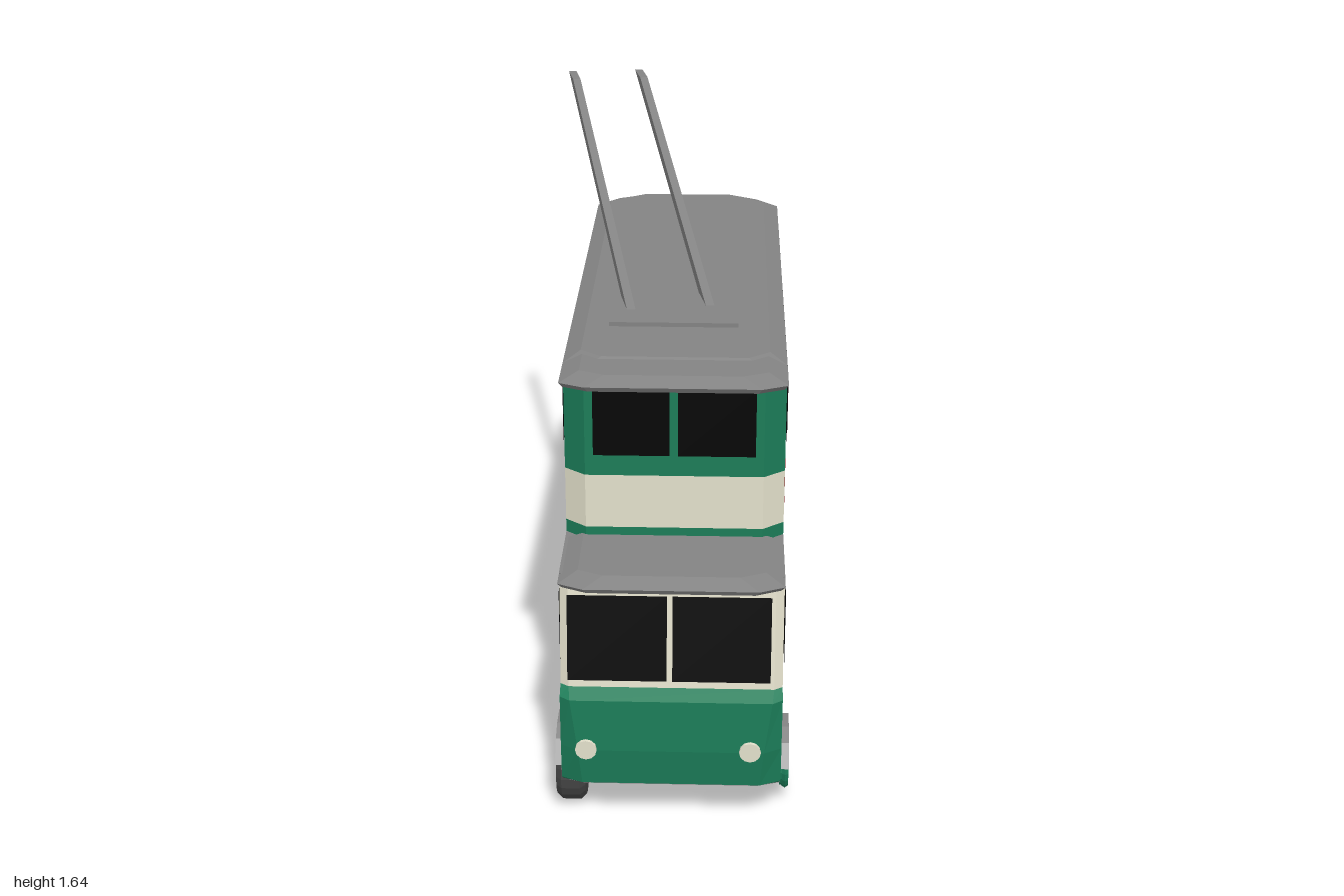
import * as THREE from 'three';

const CX = 0.0375, HW = 0.2975; // body centre line and half width
const mat = (name, color) => new THREE.MeshStandardMaterial({ name, color, side: THREE.DoubleSide, flatShading: true });

export function createModel() {
  const green = mat('green', 0x1b7c58), cream = mat('cream', 0xe3e0cb), black = mat('black', 0x040404);
  const grey = mat('grey', 0x838383), dark = mat('dark grey', 0x454545), red = mat('red', 0xa31c1c);
  const model = new THREE.Group();

  const add = (name, geo, material, x = 0, y = 0, z = 0) => {
    const m = new THREE.Mesh(geo, material);
    m.name = name;
    m.position.set(x, y, z);
    model.add(m);
  };
  const meshFrom = (name, pos, material) => {
    const g = new THREE.BufferGeometry();
    g.setAttribute('position', new THREE.Float32BufferAttribute(pos, 3));
    g.computeVertexNormals();
    add(name, g, material);
  };
  // flat convex plate through the given corners
  const panel = (name, pts, material) => {
    const pos = [];
    for (let i = 1; i < pts.length - 1; i++) pos.push(...pts[0], ...pts[i], ...pts[i + 1]);
    meshFrom(name, pos, material);
  };
  // walls through horizontal outlines [y, [[x, z], ...]], either closed and capped or an open strip
  const loft = (name, levels, material, closed = true) => {
    const pos = [];
    for (let l = 0; l < levels.length - 1; l++) {
      const [y0, a] = levels[l], [y1, b] = levels[l + 1], n = a.length;
      for (let i = 0; i < (closed ? n : n - 1); i++) {
        const j = (i + 1) % n;
        const p = [a[i][0], y0, a[i][1]], q = [a[j][0], y0, a[j][1]];
        const r = [b[i][0], y1, b[i][1]], s = [b[j][0], y1, b[j][1]];
        pos.push(...p, ...r, ...q, ...q, ...r, ...s);
      }
    }
    if (closed) {
      [levels[0], levels[levels.length - 1]].forEach(([y, o], k) => {
        for (let i = 1; i < o.length - 1; i++) {
          const t = [o[0], o[i], o[i + 1]];
          if (!k) t.reverse();
          t.forEach(([x, z]) => pos.push(x, y, z));
        }
      });
    }
    meshFrom(name, pos, material);
  };
  // front corners, then the faceted rear; d shrinks the outline
  const frontPts = (s, f, w, d = 0) => [[CX + HW - d, s - d], [CX + w - d, f - d], [CX - w + d, f - d], [CX - HW + d, s - d]];
  const rearPts = (d = 0) => [[-HW + d, -0.77 + d * 0.5], [-0.23 + d, -0.845 + d], [-0.14, -0.875 + d],
    [0.14, -0.875 + d], [0.23 - d, -0.845 + d], [HW - d, -0.77 + d * 0.5]].map(([x, z]) => [CX + x, z]);
  const outline = (s, f, w, d) => [...frontPts(s, f, w, d), ...rearPts(d)];
  // lower wall: open at the rear corner platform
  const lowerPath = (s, f, w) => [[CX + HW, -0.6], ...frontPts(s, f, w), ...rearPts().slice(0, 4)];

  // lower deck
  loft('lowerBody', [[0.12, lowerPath(0.93, 0.95, 0.235)], [0.14, lowerPath(0.955, 0.98, 0.24)],
    [0.25, lowerPath(0.965, 0.992, 0.25)], [0.4, lowerPath(0.965, 0.985, 0.27)],
    [0.42, lowerPath(0.93, 0.945, 0.275)]], green, false);
  loft('lowerWindowBand', [[0.42, lowerPath(0.93, 0.945, 0.275)], [0.718, lowerPath(0.89, 0.905, 0.275)]], cream, false);
  loft('floor', [[0.118, outline(0.93, 0.95, 0.235)], [0.125, outline(0.93, 0.95, 0.235)]], grey);
  panel('platformBulkhead', [[CX + HW, 0.125, -0.6], [CX - HW, 0.125, -0.71], [CX - HW, 0.69, -0.71], [CX + HW, 0.69, -0.6]], black);
  panel('bulkheadHeader', [[CX + HW, 0.69, -0.6], [CX - HW, 0.69, -0.71], [CX - HW, 0.718, -0.71], [CX + HW, 0.718, -0.6]], cream);
  loft('lowerRoof', [[0.718, outline(0.9, 0.92, 0.27)], [0.738, outline(0.9, 0.92, 0.27)]], grey);

  // canopies above both front ends
  const canopy = (name, y, back, front) => {
    const o = d => [...frontPts(front - 0.03, front, 0.23, d), [CX - HW + d, back], [CX + HW - d, back]];
    loft(name, [[y, o(0.01)], [y + 0.015, o(0)], [y + 0.031, o(0.05)]], grey);
  };
  canopy('lowerCanopy', 0.72, 0.69, 0.985);
  canopy('upperCanopy', 1.22, 0.1, 0.825);

  // upper deck
  const upper = outline(0.655, 0.7, 0.24);
  [['upperSkirt', 0.738, 0.775, green], ['upperBand', 0.775, 0.93, cream], ['upperWindowBand', 0.93, 1.22, green]]
    .forEach(([n, a, b, m]) => loft(n, [[a, upper], [b, upper]], m));
  loft('upperRoof', [[1.22, upper], [1.235, upper], [1.255, outline(0.655, 0.7, 0.24, 0.045)]], grey);

  // side windows and advertising panels
  const upperWin = [[0.635, 0.42], [0.405, 0.19], [0.175, -0.045], [-0.055, -0.275], [-0.285, -0.51]];
  const lowerWin = [[0.6, 0.39], [0.37, 0.16], [0.14, -0.07], [-0.09, -0.3], [-0.32, -0.545]];
  for (const side of [1, -1]) {
    const x = CX + side * (HW + 0.004);
    const plate = (name, zy, m) => panel(name, zy.map(([z, y]) => [x, y, z]), m);
    const rect = (name, z0, z1, y0, y1, m) => plate(name, [[z0, y0], [z1, y0], [z1, y1], [z0, y1]], m);
    const cutWin = (name, z0, z1, y0, y1) => plate(name, [[z0, y0], [z1 + 0.05, y0], [z1, y0 + 0.055],
      [z1, y1 - 0.055], [z1 + 0.05, y1], [z0, y1]], black);
    upperWin.forEach(([a, b]) => rect('upperSideWindow', a, b, 1.0, 1.19, black));
    cutWin('upperRearSideWindow', -0.52, -0.745, 1.0, 1.19);
    lowerWin.forEach(([a, b]) => rect('lowerSideWindow', a, b, 0.48, 0.67, black));
    plate('cabSideWindow', [[0.885, 0.465], [0.64, 0.465], [0.64, 0.67], [0.88, 0.67]], black);
    if (side < 0) cutWin('lowerRearSideWindow', -0.57, -0.765, 0.48, 0.67);
    rect('advertPanel', 0.56, -0.665, 0.785, 0.925, red);
    plate('rearWheelArch', [[0.08, 0.12], [0.055, 0.17], [-0.035, 0.242], [-0.395, 0.242], [-0.455, 0.17], [-0.475, 0.12]], black);
  }

  // front windows, the lower ones leaning back with the cab
  const cabZ = y => 0.949 - (y - 0.42) * 0.04 / 0.298;
  for (const [a, b] of [[-0.24, 0.025], [0.04, 0.302]])
    panel('windscreen', [[a, 0.44, cabZ(0.44)], [b, 0.44, cabZ(0.44)], [b, 0.68, cabZ(0.68)], [a, 0.68, cabZ(0.68)]], black);
  for (const [a, b] of [[-0.18, 0.025], [0.047, 0.255]])
    panel('upperFrontWindow', [[a, 0.99, 0.704], [b, 0.99, 0.704], [b, 1.18, 0.704], [a, 1.18, 0.704]], black);

  // rear windows; the lower one wraps round the facets and shows inside too
  const r = rearPts();
  panel('upperRearWindow', [[r[2][0], 0.93, -0.879], [r[3][0], 0.93, -0.879], [r[3][0], 1.215, -0.879], [r[2][0], 1.215, -0.879]], black);
  for (const dz of [-0.005, 0.005]) {
    const cols = [[...r[1], 0.51, 0.61], [r[1][0] + 0.04, -0.858, 0.46, 0.655], [...r[2], 0.45, 0.66],
      [r[3][0] - 0.05, -0.875, 0.45, 0.66], [r[3][0] - 0.006, -0.875, 0.5, 0.61]];
    for (let i = 0; i < cols.length - 1; i++) {
      const [a, b] = [cols[i], cols[i + 1]];
      panel('lowerRearWindow', [[a[0], a[2], a[1] + dz], [b[0], b[2], b[1] + dz], [b[0], b[3], b[1] + dz], [a[0], a[3], a[1] + dz]], black);
    }
  }

  // headlights
  for (const x of [-0.19, 0.25])
    add('headlight', new THREE.CylinderGeometry(0.029, 0.029, 0.02, 12).rotateX(Math.PI / 2), cream, x, 0.255, 0.99);

  // mudguards: thin strips folded over the wheels
  const guard = (name, path) => {
    for (let i = 0; i < path.length - 1; i++) {
      const [[z0, y0], [z1, y1]] = [path[i], path[i + 1]];
      panel(name, [[-0.28, y0, z0], [0.358, y0, z0], [0.358, y1, z1], [-0.28, y1, z1]], grey);
    }
  };
  guard('frontMudguard', [[0.945, 0.17], [0.9, 0.225], [0.85, 0.245], [0.78, 0.245], [0.72, 0.2], [0.67, 0.07]]);
  guard('rearMudguard', [[0.08, 0.12], [0.055, 0.17], [-0.035, 0.245], [-0.395, 0.245], [-0.455, 0.17], [-0.495, 0.07]]);

  // wheels: tyres on the right side, hubs on both
  const tyreProfile = [[0.07, -0.04], [0.102, -0.04], [0.116, -0.025], [0.116, 0.025], [0.102, 0.04], [0.07, 0.04]]
    .map(p => new THREE.Vector2(...p));
  const disc = (rad, h) => new THREE.CylinderGeometry(rad, rad, h, 20).rotateZ(Math.PI / 2);
  for (const z of [0.82, -0.045, -0.32]) {
    add('tyre', new THREE.LatheGeometry(tyreProfile, 24).rotateZ(Math.PI / 2), dark, -0.24, 0.116, z);
    for (const [side, x] of [[1, 0.342], [-1, -0.262]]) {
      add('hubDisc', disc(0.07, 0.014), green, x, 0.12, z);
      add('hubRim', new THREE.TorusGeometry(0.068, 0.01, 6, 20).rotateY(Math.PI / 2), green, x + side * 0.008, 0.12, z);
      add('hubRing', new THREE.TorusGeometry(0.04, 0.007, 6, 20).rotateY(Math.PI / 2), green, x + side * 0.006, 0.12, z);
      add('hubCap', disc(0.02, 0.016), green, x + side * 0.01, 0.12, z);
    }
  }

  // trolley base and the two sheared collector poles, cut level at both ends
  add('poleBase', new THREE.BoxGeometry(0.355, 0.02, 0.265), grey, 0.0275, 1.257, 0.2975);
  const foot = (x, z) => [[x + 0.012, z - 0.002], [x - 0.012, z + 0.002], [x - 0.034, z - 0.108], [x - 0.01, z - 0.112]];
  for (const [x0, z0, x1, z1] of [[-0.09, 0.35, -0.332, -0.858], [0.13, 0.31, -0.112, -0.888]])
    loft('collectorPole', [[1.26, foot(x0, z0)], [1.638, foot(x1, z1)]], grey);
  return model;
}
